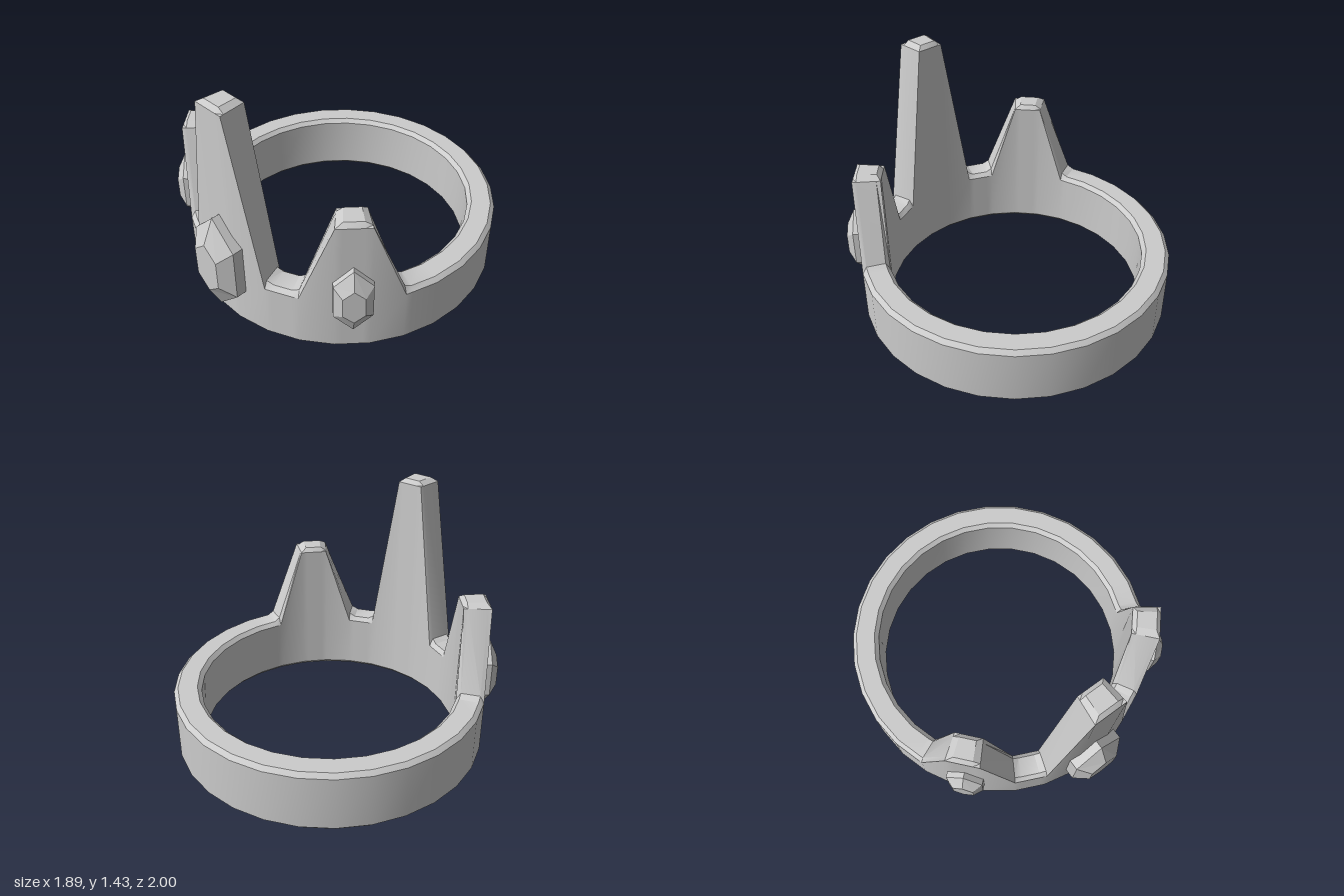
import * as THREE from 'three';
import { toCreasedNormals } from 'three/addons/utils/BufferGeometryUtils.js';

const OUTER = 0.945, INNER = 0.78, BEVEL = 0.025, CENTRE_Z = -0.06;
const APOTHEM = OUTER * Math.cos(Math.PI / 30);
const rad = THREE.MathUtils.degToRad;

// Triangles between neighbouring loops of points
function skin(loops, closed) {
  const pos = [];
  const n = loops[0].length;
  const last = closed ? loops.length : loops.length - 1;
  for (let i = 0; i < last; i++) {
    const p = loops[i], q = loops[(i + 1) % loops.length];
    for (let k = 0; k < n; k++) {
      const m = (k + 1) % n;
      pos.push(...p[k], ...q[k], ...q[m], ...p[k], ...q[m], ...p[m]);
    }
  }
  return pos;
}

function toGeometry(pos) {
  const g = new THREE.BufferGeometry();
  g.setAttribute('position', new THREE.Float32BufferAttribute(pos, 3));
  g.computeVertexNormals();
  return g;
}

// Bevelled 30-sided band whose top edge rises into three spikes
function bandGeometry() {
  // angle from the front, height at the walls, height between the bevels
  const half = [
    [3.7, 1.405, 1.43], [6, 1.405, 1.405],
    [18, 0.355, 0.4], [20.5, 0.355, 0.38], [27.5, 0.355, 0.38], [30, 0.355, 0.4],
    [42, 0.875, 0.875], [44.5, 0.875, 0.9], [51.5, 0.875, 0.9], [54, 0.875, 0.875],
    [66, 0.355, 0.4], [68.5, 0.355, 0.38],
  ];
  for (let a = 78; a < 180; a += 12) half.push([a, 0.355, 0.38]);
  const mirrored = half.map(([a, y, m]) => [-a, y, m]).reverse();

  const loops = [...mirrored, ...half].map(([deg, wall, mid]) => {
    // keep every column on the flat sides of the polygon
    const abs = Math.abs(deg);
    const flat = Math.cos(rad(6)) / Math.cos(rad(abs - 12 * Math.round(abs / 12)));
    const s = Math.sin(rad(deg)) * flat, c = Math.cos(rad(deg)) * flat;
    return [
      [OUTER - BEVEL, 0], [OUTER, BEVEL], [OUTER, wall], [OUTER - BEVEL, mid],
      [INNER + BEVEL, mid], [INNER, wall], [INNER, BEVEL], [INNER + BEVEL, 0],
    ].map(([r, y]) => [r * s, y, r * c]);
  });
  return toCreasedNormals(toGeometry(skin(loops, true)), 0.5);
}

// Long six-sided cut gem: back, girdle and raised table
function gemGeometry() {
  const hexagon = (w, shoulder, h, z) => [
    [0, h, z], [-w, shoulder, z], [-w, -shoulder, z],
    [0, -h, z], [w, -shoulder, z], [w, shoulder, z],
  ];
  const loops = [
    hexagon(0.16, 0.16, 0.317, -0.06),
    hexagon(0.16, 0.16, 0.317, 0.05),
    hexagon(0.09, 0.09, 0.167, 0.12),
  ];
  const pos = skin(loops.map((l) => [...l].reverse()), false);
  const [back, , table] = loops;
  for (let k = 1; k < 5; k++) {
    pos.push(...table[0], ...table[k], ...table[k + 1]);
    pos.push(...back[0], ...back[k + 1], ...back[k]);
  }
  // the loops run from back to front, so flip the sides outward where needed
  const sideCount = 2 * 6 * 2;
  const a = new THREE.Vector3(), b = new THREE.Vector3(), c = new THREE.Vector3();
  for (let t = 0; t < sideCount; t++) {
    const o = t * 9;
    a.fromArray(pos, o); b.fromArray(pos, o + 3); c.fromArray(pos, o + 6);
    const normal = b.clone().sub(a).cross(c.clone().sub(a));
    const out = a.clone().add(b).add(c).setZ(0);
    if (normal.dot(out) < 0) {
      b.toArray(pos, o + 6);
      c.toArray(pos, o + 3);
    }
  }
  return toGeometry(pos);
}

export function createModel() {
  const model = new THREE.Group();
  model.name = 'crown';
  const material = new THREE.MeshStandardMaterial({ color: 0xcccccc });
  const gemMaterial = new THREE.MeshStandardMaterial({ color: 0xcccccc, flatShading: true });

  const band = new THREE.Mesh(bandGeometry(), material);
  band.name = 'spikedBand';
  band.position.z = CENTRE_Z;
  model.add(band);

  // One gem on each spike, the middle one larger
  const gem = gemGeometry();
  for (const [name, deg, y, size] of [
    ['frontGem', 0, 0.422, 1], ['leftGem', 48, 0.397, 0.68], ['rightGem', -48, 0.397, 0.68],
  ]) {
    const mesh = new THREE.Mesh(gem, gemMaterial);
    mesh.name = name;
    mesh.scale.setScalar(size);
    mesh.rotation.y = rad(deg);
    mesh.position.set(APOTHEM * Math.sin(rad(deg)), y, APOTHEM * Math.cos(rad(deg)) + CENTRE_Z);
    model.add(mesh);
  }
  return model;
}
